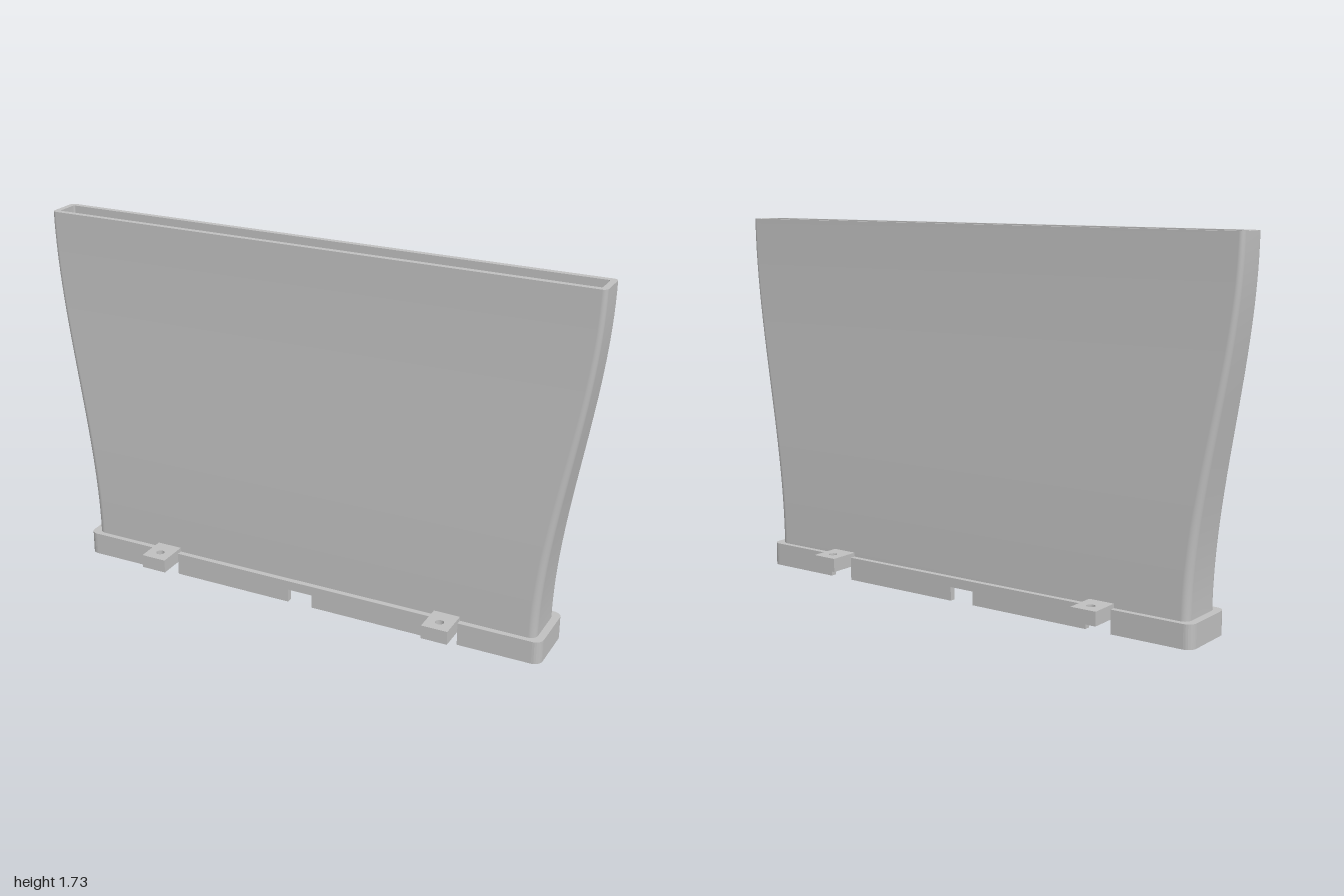
import * as THREE from 'three';
import { mergeGeometries } from 'three/addons/utils/BufferGeometryUtils.js';

const HEIGHT = 1.73, RIM_TOP = 0.11, NOTCH_TOP = 0.065, WALL = 0.028;
const TAB_U = 0.735, TAB_HALF = 0.063;
const BASE = { u: 1.19, v: 0.15, r: 0.04 };     // outside of the foot rim
const SOCKET = { u: 1.16, v: 0.12, r: 0.015 };  // recess under the foot

// Counter-clockwise rounded rectangle with half sizes u, v
function ring({ u, v, r }) {
  const pts = [];
  [[1, 1], [-1, 1], [-1, -1], [1, -1]].forEach(([sx, sy], q) => {
    for (let k = 0; k <= 6; k++) {
      const a = (q + k / 6) * Math.PI / 2;
      pts.push(new THREE.Vector2(sx * (u - r) + r * Math.cos(a), sy * (v - r) + r * Math.sin(a)));
    }
  });
  return pts;
}

// Skin through a stack of rings, each { pts, y }
function loft(levels) {
  const n = levels[0].pts.length, pos = [], idx = [];
  for (const { pts, y } of levels) for (const p of pts) pos.push(p.x, y, -p.y);
  for (let j = 0; j < levels.length - 1; j++) {
    for (let i = 0; i < n; i++) {
      const a = j * n + i, b = j * n + (i + 1) % n;
      idx.push(a, b, b + n, a, b + n, a + n);
    }
  }
  const g = new THREE.BufferGeometry();
  g.setAttribute('position', new THREE.Float32BufferAttribute(pos, 3));
  g.setIndex(idx);
  g.computeVertexNormals();
  return g;
}

// Flat plan shape raised from y0 to y1
function slab(shape, y0, y1) {
  return new THREE.ExtrudeGeometry(shape, { depth: y1 - y0, bevelEnabled: false, curveSegments: 20 })
    .rotateX(-Math.PI / 2).translate(0, y0, 0);
}

// Body cross-section at height y, inset for the inner skin
function section(y, inset) {
  const s = THREE.MathUtils.smoothstep(y, RIM_TOP, HEIGHT), mix = THREE.MathUtils.lerp;
  return {
    y,
    pts: ring({ u: mix(1.155, 1.342, s) - inset, v: mix(0.123, 0.083, s) - inset, r: mix(0.035, 0.022, s) - inset * 0.5 }),
  };
}

export function createModel() {
  const model = new THREE.Group();
  const grey = new THREE.MeshStandardMaterial({ color: 0xc0c0c0 });
  grey.name = 'lightGrey';
  const add = (name, geometry) => {
    const mesh = new THREE.Mesh(geometry, grey);
    mesh.name = name;
    model.add(mesh);
    return mesh;
  };

  // Flared hollow body: outer skin, top lip, inner skin
  const heights = Array.from({ length: 33 }, (_, i) => RIM_TOP + (HEIGHT - RIM_TOP) * i / 32);
  add('body', mergeGeometries([
    loft(heights.map(y => section(y, 0))),
    loft([section(HEIGHT, 0), section(HEIGHT, WALL)]),
    loft(heights.map(y => section(y, WALL)).reverse()),
  ]));

  // Upper half of the foot rim, with the body's opening through it
  const upper = new THREE.Shape(ring(BASE));
  upper.holes.push(new THREE.Path(section(RIM_TOP, WALL).pts));
  add('footRim', slab(upper, NOTCH_TOP, RIM_TOP));

  // Lower half of the foot: rounded ends and straight walls, leaving the notches open
  const cut = TAB_U + TAB_HALF;
  const right = p => p.x > 0;
  const outer = ring(BASE), inner = ring(SOCKET);
  const endPts = [
    new THREE.Vector2(cut, -BASE.v), ...outer.slice(21), ...outer.slice(0, 7).filter(right),
    new THREE.Vector2(cut, BASE.v), new THREE.Vector2(cut, SOCKET.v),
    ...inner.slice(0, 7).reverse(), ...inner.slice(21).reverse(),
    new THREE.Vector2(cut, -SOCKET.v),
  ];
  for (const side of [1, -1]) {
    const end = add(side > 0 ? 'footEndA' : 'footEndB', slab(new THREE.Shape(endPts), 0, NOTCH_TOP));
    if (side < 0) end.rotation.y = Math.PI;
    const u0 = TAB_HALF, u1 = TAB_U - TAB_HALF;
    for (const face of [1, -1]) {
      const wall = new THREE.BoxGeometry(u1 - u0, NOTCH_TOP, BASE.v - SOCKET.v);
      wall.translate(side * (u0 + u1) / 2, NOTCH_TOP / 2, face * (BASE.v + SOCKET.v) / 2);
      add('footWall', wall);
    }
  }

  // Mounting tabs with screw holes
  const tabShape = new THREE.Shape([
    new THREE.Vector2(-TAB_HALF, 0.118), new THREE.Vector2(TAB_HALF, 0.118),
    new THREE.Vector2(TAB_HALF, 0.272), new THREE.Vector2(-TAB_HALF, 0.272),
  ]);
  tabShape.holes.push(new THREE.Path().absarc(0, 0.209, 0.02, 0, Math.PI * 2, true));
  const tab = slab(tabShape, NOTCH_TOP, 0.13);
  for (const u of [-TAB_U, TAB_U]) {
    for (const turn of [0, Math.PI]) {
      const mesh = add('mountingTab', tab);
      mesh.position.x = u;
      mesh.rotation.y = turn;
    }
  }

  // The whole piece stands diagonally
  model.rotation.y = -Math.PI / 4;
  const root = new THREE.Group();
  root.name = 'flaredDuct';
  model.name = 'duct';
  root.add(model);
  return root;
}
